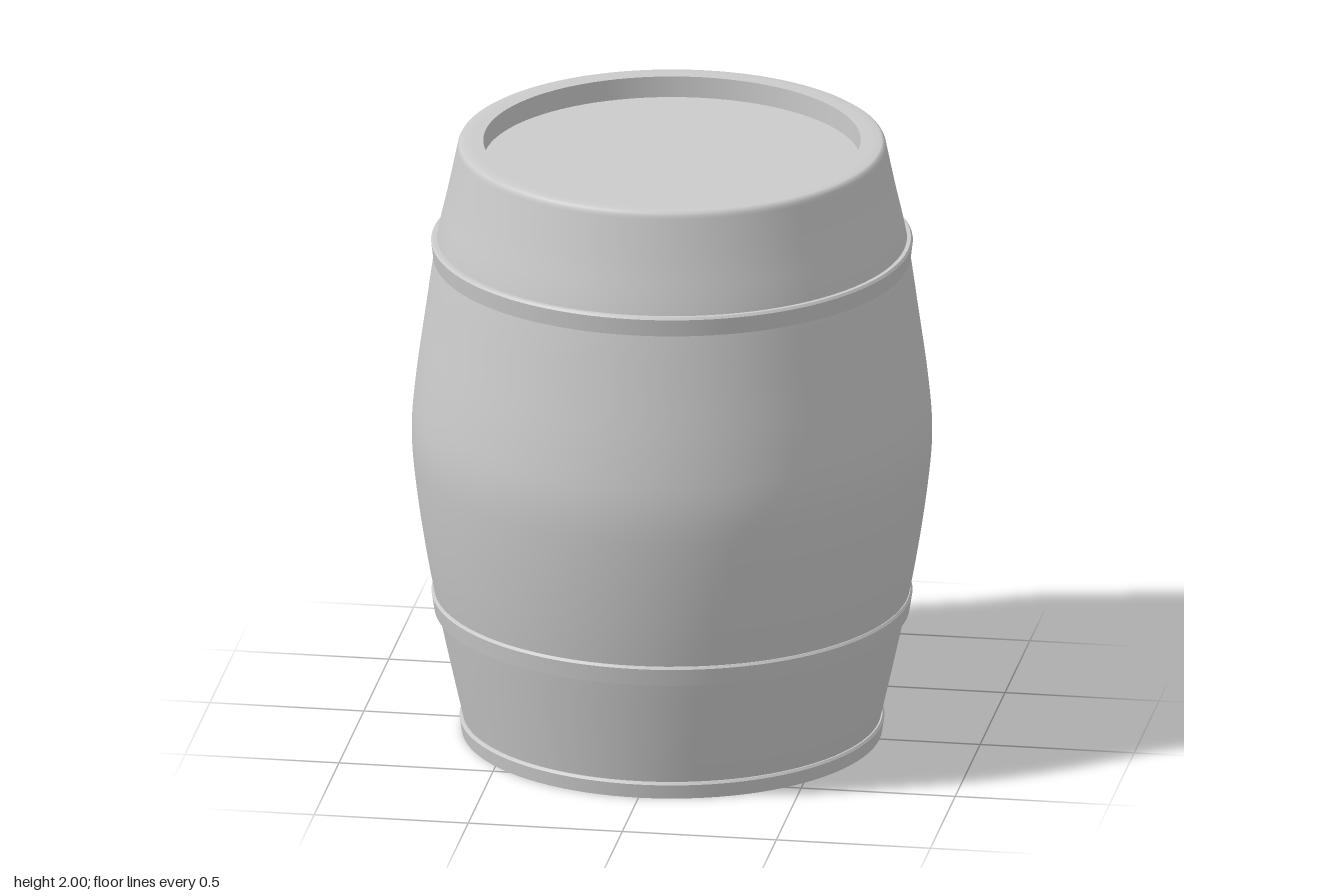
import * as THREE from 'three';
import { mergeGeometries } from 'three/addons/utils/BufferGeometryUtils.js';

const SEGMENTS = 96;
const material = new THREE.MeshStandardMaterial({ color: 0xcccccc });
const toPoints = (pairs) => pairs.map(([r, y]) => new THREE.Vector2(r, y));

// Each strip is smooth along itself; edges between strips stay sharp.
function turned(name, strips) {
  const parts = strips.map((points) => new THREE.LatheGeometry(points, SEGMENTS));
  const mesh = new THREE.Mesh(mergeGeometries(parts), material);
  mesh.name = name;
  return mesh;
}

// Band with a flat, slightly tapered face and closed top and bottom edges.
function hoop(name, y0, y1, outer0, outer1, inner0, inner1) {
  return turned(name, [
    toPoints([[inner0, y0], [outer0, y0]]),
    toPoints([[outer0, y0], [outer1, y1 - 0.008]]),
    toPoints([[outer1, y1 - 0.008], [outer1 - 0.006, y1]]),
    toPoints([[outer1 - 0.006, y1], [inner1, y1]]),
  ]);
}

export function createModel() {
  const barrel = new THREE.Group();
  barrel.name = 'barrel';

  // Bulging staves, ending in a softly rounded top rim
  const bulge = new THREE.SplineCurve(toPoints([
    [0.662, 0.02], [0.707, 0.22], [0.75, 0.42], [0.788, 0.62], [0.82, 0.84], [0.834, 1.02],
    [0.82, 1.2], [0.79, 1.42], [0.755, 1.66], [0.718, 1.83], [0.688, 1.975],
  ])).getPoints(60);
  const rim = toPoints([[0.686, 1.985], [0.681, 1.994], [0.672, 2], [0.64, 2], [0.605, 2]]);
  barrel.add(turned('staves', [[...bulge, ...rim]]));

  // Recessed lid and the wall around it
  barrel.add(turned('rimWall', [toPoints([[0.605, 2], [0.605, 1.93]])]));
  barrel.add(turned('lid', [toPoints([[0.605, 1.93], [0, 1.93]])]));

  // Two hoops around the body, one around the foot
  barrel.add(hoop('lowerHoop', 0.415, 0.48, 0.762, 0.771, 0.74, 0.75));
  barrel.add(hoop('upperHoop', 1.605, 1.67, 0.765, 0.772, 0.75, 0.74));
  barrel.add(hoop('footHoop', 0, 0.055, 0.674, 0.681, 0.65, 0.66));

  // Flat underside
  barrel.add(turned('base', [toPoints([[0, 0], [0.672, 0]])]));

  return barrel;
}
